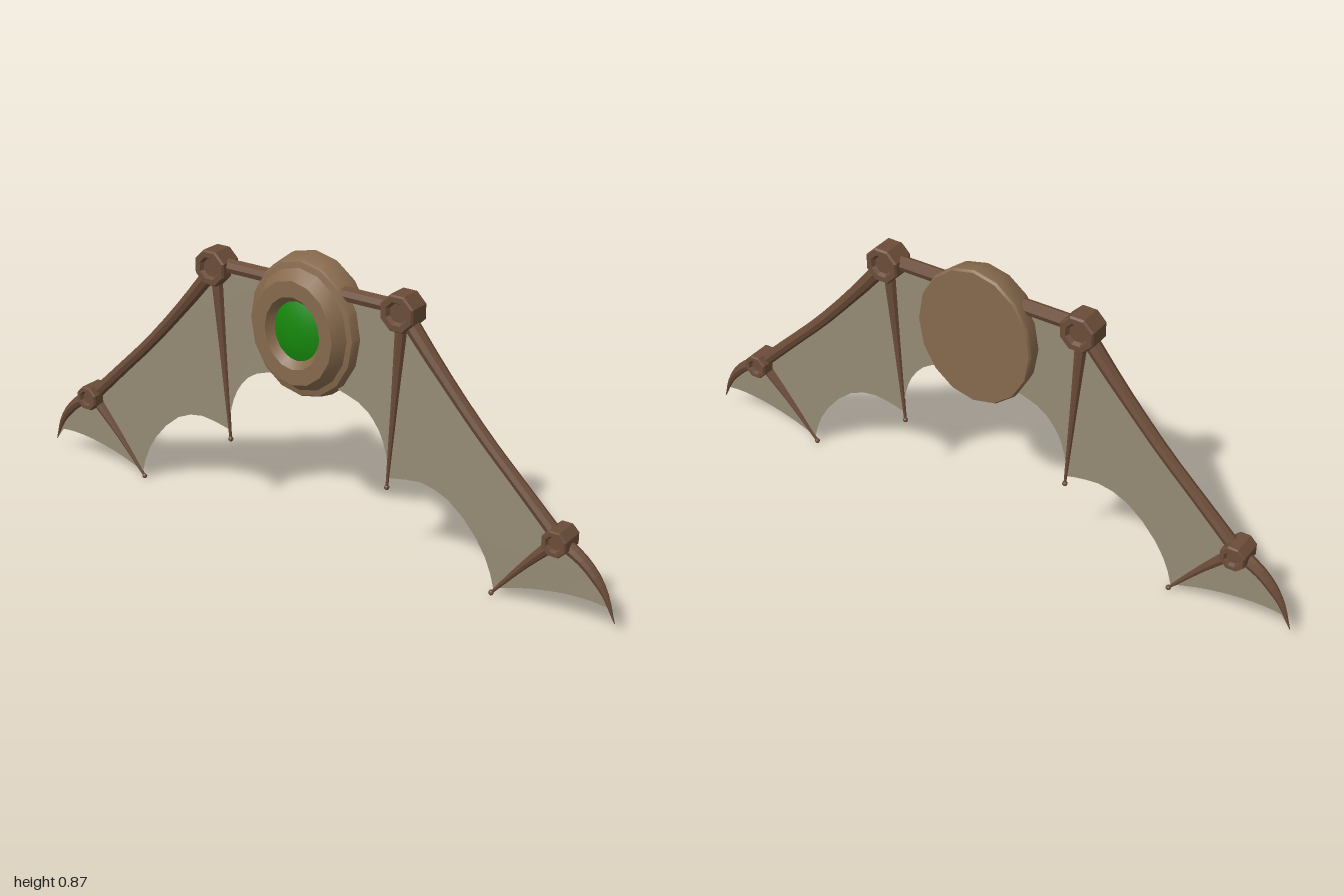
import * as THREE from 'three';
import { toCreasedNormals } from 'three/addons/utils/BufferGeometryUtils.js';

const mat = (color, opts = {}) => new THREE.MeshStandardMaterial({ color, ...opts });
const wood = mat(0x6b4c38, { flatShading: true });
const shell = mat(0x86694c);
const skin = mat(0x958a74, { side: THREE.DoubleSide });
const green = mat(0x16880c);

const X = 0.01; // plane in which the wings lie
const v2 = (p) => new THREE.Vector2(...p);

function add(group, name, geometry, material) {
  const mesh = new THREE.Mesh(geometry, material);
  mesh.name = name;
  group.add(mesh);
  return mesh;
}

// Lathe about the x axis; profile is [radius, x] from -x to +x
const latheX = (profile, sides, phase = 0) =>
  new THREE.LatheGeometry(profile.map(v2), sides, phase).rotateZ(-Math.PI / 2);

// Curve through [z, y] points in the wing plane
const curveZY = (pts, s) =>
  new THREE.CatmullRomCurve3(pts.map(([z, y]) => new THREE.Vector3(X, y, z * s)));

// Tapered octagonal rod along a curve
function rod(curve, radii, segments = 10) {
  const sides = 8;
  const g = new THREE.TubeGeometry(curve, segments, 1, sides);
  const p = g.attributes.position, v = new THREE.Vector3();
  for (let i = 0; i <= segments; i++) {
    const c = curve.getPointAt(i / segments);
    const f = (i / segments) * (radii.length - 1);
    const k = Math.min(Math.floor(f), radii.length - 2);
    const r = THREE.MathUtils.lerp(radii[k], radii[k + 1], f - k);
    for (let j = 0; j <= sides; j++) {
      const n = i * (sides + 1) + j;
      v.fromBufferAttribute(p, n).sub(c).multiplyScalar(r).add(c);
      p.setXYZ(n, v.x, v.y, v.z);
    }
  }
  g.computeVertexNormals();
  return g;
}

// Octagonal knuckle with dished ends
function hub(r, h) {
  return latheX([
    [0, -h + 0.012], [r * 0.5, -h + 0.012], [r * 0.62, -h], [r * 0.92, -h], [r, -h + 0.006],
    [r, h - 0.006], [r * 0.92, h], [r * 0.62, h], [r * 0.5, h - 0.012], [0, h - 0.012],
  ], 8, Math.PI / 8);
}

const SHOULDER = [0.318, 0.77], WRIST = [0.824, 0.237];
const ARM = [SHOULDER, [0.42, 0.648], [0.575, 0.478], [0.7, 0.357], WRIST];
const CLAW = [WRIST, [0.9, 0.192], [0.96, 0.125], [0.998, 0.04]];
const FINGERS = [
  [SHOULDER, [0.298, 0.5], [0.278, 0.232]],
  [WRIST, [0.725, 0.13], [0.626, 0.01]],
];
// Scalloped lower edge of the membrane, one list per bay, outside to inside
const SCALLOPS = [
  [[0.992, 0.078], [0.93, 0.085], [0.84, 0.08], [0.73, 0.058], [0.632, 0.025]],
  [[0.632, 0.025], [0.61, 0.095], [0.56, 0.175], [0.48, 0.25], [0.4, 0.278], [0.33, 0.272], [0.28, 0.26]],
  [[0.28, 0.26], [0.276, 0.32], [0.25, 0.395], [0.196, 0.457], [0.1, 0.492]],
];

function buildWing(s) {
  const wing = new THREE.Group();
  wing.name = s > 0 ? 'frontWing' : 'backWing';

  // Bones
  add(wing, 'shoulderBar', rod(curveZY([[0.1, 0.778], [0.31, 0.778]], s), [0.022, 0.022], 1), wood);
  add(wing, 'armBone', rod(curveZY(ARM, s), [0.024, 0.019, 0.018, 0.02]), wood);
  add(wing, 'claw', rod(curveZY(CLAW, s), [0.021, 0.015, 0.001]), wood);
  FINGERS.forEach((pts, i) => {
    add(wing, 'finger' + (i + 1), rod(curveZY(pts, s), [0.02, 0.011, 0.004], 6), wood);
    const knob = add(wing, 'fingerTip' + (i + 1), new THREE.SphereGeometry(0.008, 8, 6), wood);
    const [z, y] = pts[2];
    knob.position.set(X, y, z * s);
  });

  // Knuckles
  [['shoulderJoint', SHOULDER, 0.056, 0.038], ['wristJoint', WRIST, 0.04, 0.041]].forEach(([name, [z, y], r, h]) =>
    add(wing, name, hub(r, h), wood).position.set(X + 0.001, y, z * s));

  // Membrane stretched between the bones
  const outline = [[0.1, 0.775]];
  const trace = (pts, n) => curveZY(pts, 1).getPoints(n).forEach((p) => outline.push([p.z, p.y]));
  trace(ARM, 10);
  trace(CLAW, 8);
  SCALLOPS.forEach((pts) => trace(pts, 10));
  const shape = new THREE.Shape(outline.map(([z, y]) => new THREE.Vector2(z * s, y)));
  add(wing, 'membrane', new THREE.ShapeGeometry(shape).rotateY(-Math.PI / 2).translate(X, 0, 0), skin);
  return wing;
}

export function createModel() {
  const model = new THREE.Group();
  model.name = 'wingedMedallion';

  // Oval medallion: flat on +x, stepped with a recessed eye on -x
  const medallion = new THREE.Group();
  medallion.name = 'medallion';
  const body = latheX([
    [0, -0.035], [0.088, -0.035], [0.108, -0.06], [0.155, -0.06], [0.182, -0.022],
    [0.2, -0.018], [0.204, -0.012], [0.214, 0.035], [0.214, 0.053], [0.209, 0.06], [0, 0.06],
  ], 16);
  add(medallion, 'medallionBody', toCreasedNormals(body, 0.45), shell);
  add(medallion, 'eye', latheX([[0, -0.05], [0.03, -0.049], [0.06, -0.045], [0.088, -0.036]].reverse()
    .map(([r, x]) => [r, -x]), 24).rotateY(Math.PI), green);
  medallion.scale.z = 0.868;
  medallion.position.y = 0.653;
  model.add(medallion);

  for (const s of [1, -1]) model.add(buildWing(s));
  return model;
}
